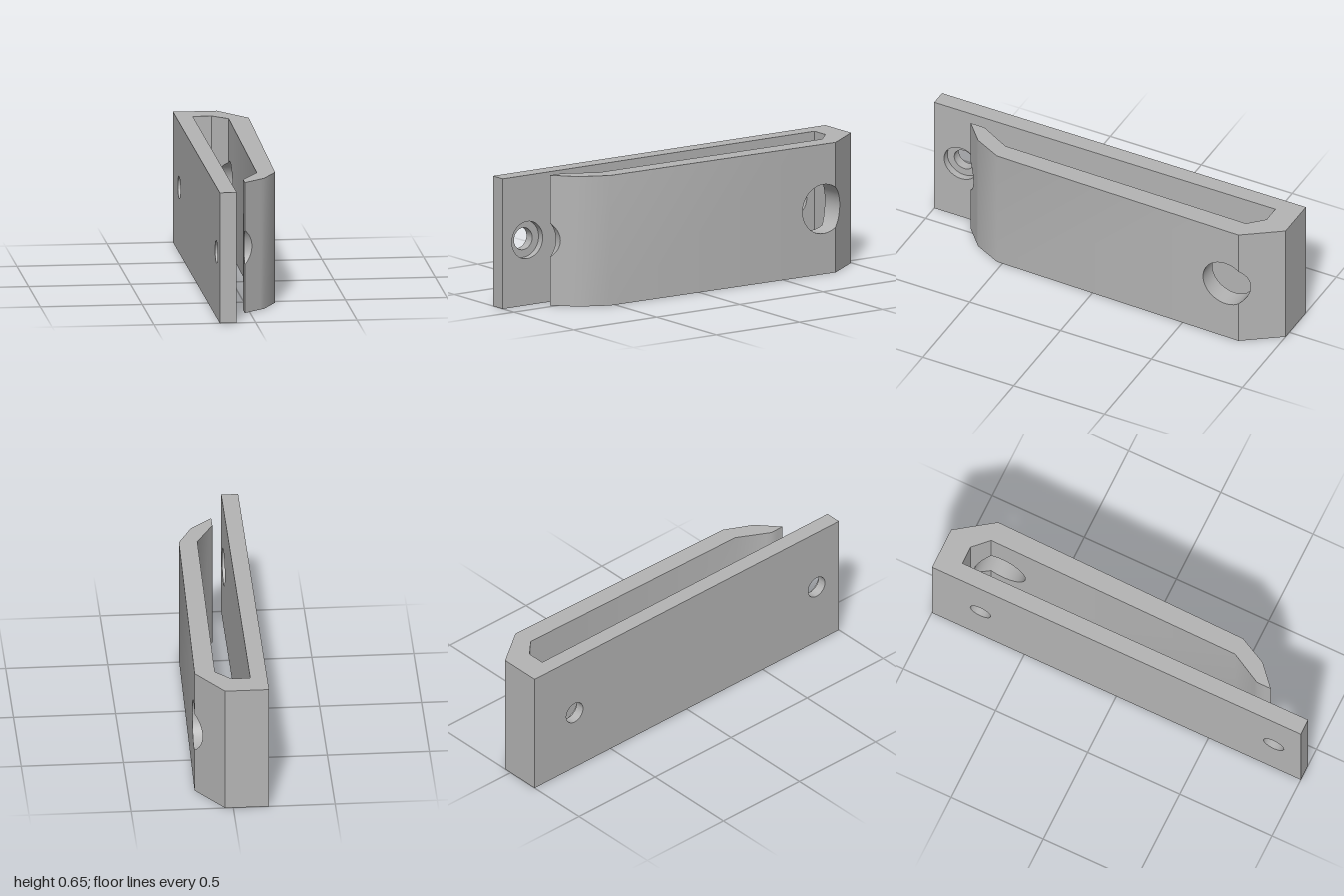
import * as THREE from 'three';
import { toCreasedNormals } from 'three/addons/utils/BufferGeometryUtils.js';

const HEIGHT = 0.65, MID = 0.326, CREASE = 0.52;
const HOLE_Z = [-0.737, 0.853];
const PLATE_BACK = -0.176, PLATE_STEP = -0.128, PLATE_FRONT = -0.093;
const ACCESS_R = 0.123;

// Arm faces as [z, x] points from the closed end to the tip
const OUTER = [[-0.875, 0.129], [-0.81, 0.175], [0.53, 0.15], [0.67, 0.08], [0.765, -0.026]];
const INNER = [[-0.875, 0], [-0.8, 0.075], [0.53, 0.06], [0.69, -0.026], [0.765, -0.026]];

function lookup(points, z) {
  for (let i = 1; i < points.length; i++) {
    const [z0, x0] = points[i - 1], [z1, x1] = points[i];
    if (z <= z1 + 1e-9) return x0 + (x1 - x0) * (z - z0) / (z1 - z0);
  }
  return points[points.length - 1][1];
}

// Half height of the access holes at a given z
const gap = z => Math.max(...HOLE_Z.map(c => Math.sqrt(Math.max(0, ACCESS_R ** 2 - (z - c) ** 2))));

// Flat plate layer between two x values, pierced by two round holes
function plateLayer(x0, x1, radius) {
  const shape = new THREE.Shape();
  shape.moveTo(-1, 0).lineTo(1, 0).lineTo(1, HEIGHT).lineTo(-1, HEIGHT).closePath();
  for (const z of HOLE_Z) {
    shape.holes.push(new THREE.Path().absarc(-z, MID, radius, 0, Math.PI * 2, true));
  }
  const g = new THREE.ExtrudeGeometry(shape, { depth: x1 - x0, bevelEnabled: false, curveSegments: 24 });
  return toCreasedNormals(g.rotateY(Math.PI / 2).translate(x0, 0, 0), CREASE);
}

// Bent arm made of thin columns along z, split above and below each access hole
function armGeometry() {
  const zs = [...OUTER, ...INNER].map(p => p[0]);
  for (const c of HOLE_Z) {
    for (let k = 0; k <= 24; k++) zs.push(c + ACCESS_R * Math.cos(k * Math.PI / 24));
  }
  const columns = zs.filter(z => z >= -0.875 && z <= 0.765).sort((a, b) => a - b)
    .filter((z, i, all) => i === 0 || z - all[i - 1] > 1e-6);
  const pos = [];
  const quad = (a, b, c, d) => pos.push(...a, ...b, ...c, ...a, ...c, ...d);

  function block(z0, z1, lo0, hi0, lo1, hi1) {
    const o0 = lookup(OUTER, z0), o1 = lookup(OUTER, z1);
    const i0 = lookup(INNER, z0), i1 = lookup(INNER, z1);
    quad([o1, lo1, z1], [o0, lo0, z0], [o0, hi0, z0], [o1, hi1, z1]);
    quad([i0, lo0, z0], [i1, lo1, z1], [i1, hi1, z1], [i0, hi0, z0]);
    quad([i1, hi1, z1], [o1, hi1, z1], [o0, hi0, z0], [i0, hi0, z0]);
    quad([i0, lo0, z0], [o0, lo0, z0], [o1, lo1, z1], [i1, lo1, z1]);
  }

  for (let i = 1; i < columns.length; i++) {
    const z0 = columns[i - 1], z1 = columns[i];
    if (gap((z0 + z1) / 2) > 0) {
      block(z0, z1, 0, MID - gap(z0), 0, MID - gap(z1));
      block(z0, z1, MID + gap(z0), HEIGHT, MID + gap(z1), HEIGHT);
    } else {
      block(z0, z1, 0, HEIGHT, 0, HEIGHT);
    }
  }
  const g = new THREE.BufferGeometry();
  g.setAttribute('position', new THREE.Float32BufferAttribute(pos, 3));
  return toCreasedNormals(g, CREASE);
}

// Solid closed end joining the plate to the arm
function endGeometry() {
  const shape = new THREE.Shape([[PLATE_FRONT, -1], [0.04, -1], [0.129, -0.875], [PLATE_FRONT, -0.875]]
    .map(p => new THREE.Vector2(...p)));
  const g = new THREE.ExtrudeGeometry(shape, { depth: HEIGHT, bevelEnabled: false });
  return g.rotateX(Math.PI / 2).translate(0, HEIGHT, 0);
}

export function createModel() {
  const grey = new THREE.MeshStandardMaterial({ color: 0xb4b4b4 });
  grey.name = 'light grey';
  const group = new THREE.Group();
  group.name = 'clip bracket';
  const add = (name, geometry) => {
    const mesh = new THREE.Mesh(geometry, grey);
    mesh.name = name;
    group.add(mesh);
  };
  add('mounting plate with screw holes', plateLayer(PLATE_BACK, PLATE_STEP, 0.055));
  add('mounting plate with counterbores', plateLayer(PLATE_STEP, PLATE_FRONT, 0.093));
  add('closed end', endGeometry());
  add('spring arm', armGeometry());
  return group;
}
